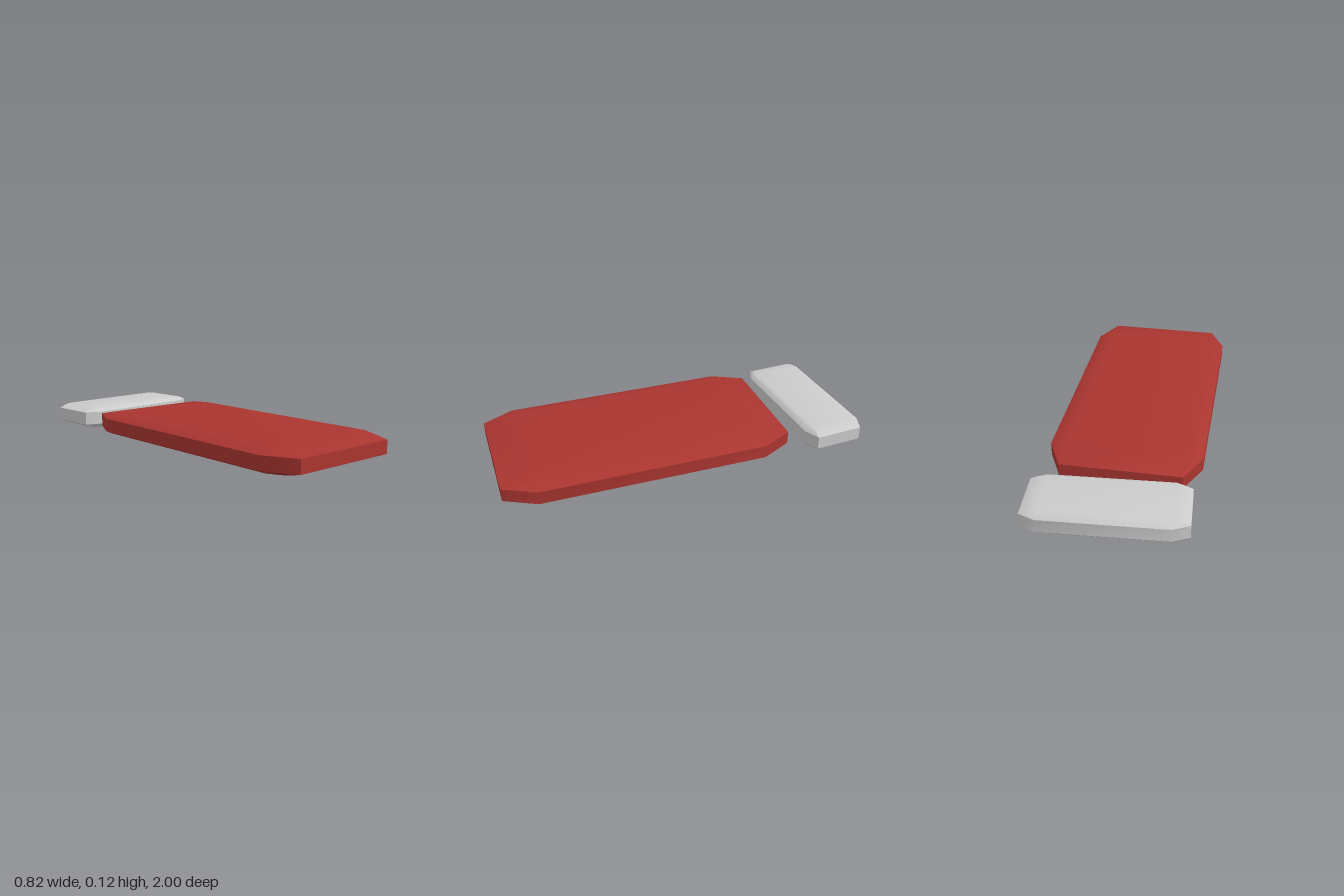
import * as THREE from 'three';
import { toCreasedNormals } from 'three/addons/utils/BufferGeometryUtils.js';

// Horizontal profile shared by both slabs: [y, share of the chamfer still present]
const PROFILE = [
  [0, 0], [0.006, 0.5], [0.025, 1],
  [0.097, 1], [0.115, 0.5], [0.12, 0],
];

// Octagonal ring around an inner rectangle (hx - cx, hz - cz), grown outwards by s
function ring(hx, hz, cx, cz, y, s) {
  const ix = hx - cx, iz = hz - cz, points = [];
  for (const [sx, sz] of [[1, 1], [-1, 1], [-1, -1], [1, -1]]) {
    const side = new THREE.Vector3(sx * (ix + cx * s), y, sz * iz);
    const end = new THREE.Vector3(sx * ix, y, sz * (iz + cz * s));
    points.push(...(sx * sz > 0 ? [side, end] : [end, side]));
  }
  return points;
}

// Chamfered slab with softly domed top and bottom
function slabGeometry(hx, hz, cx, cz) {
  const rings = PROFILE.map(([y, s]) => ring(hx, hz, cx, cz, y, s));
  const pos = [];
  const tri = (a, b, c) => {
    if (a.equals(b) || b.equals(c) || a.equals(c)) return;
    for (const p of [a, b, c]) pos.push(p.x, p.y, p.z);
  };
  for (let i = 0; i < rings.length - 1; i++) {
    for (let k = 0; k < 8; k++) {
      const n = (k + 1) % 8, lo = rings[i], up = rings[i + 1];
      tri(lo[k], up[k], lo[n]);
      tri(lo[n], up[k], up[n]);
    }
  }
  // Flat caps
  const bottom = rings[0], top = rings[rings.length - 1];
  for (let k = 1; k < 7; k++) {
    tri(bottom[0], bottom[k], bottom[k + 1]);
    tri(top[0], top[k + 1], top[k]);
  }
  const geo = new THREE.BufferGeometry();
  geo.setAttribute('position', new THREE.Float32BufferAttribute(pos, 3));
  return toCreasedNormals(geo, 0.6);
}

function slab(name, color, [hx, hz, cx, cz], z, turn) {
  const mesh = new THREE.Mesh(
    slabGeometry(hx, hz, cx, cz),
    new THREE.MeshStandardMaterial({ color }),
  );
  mesh.name = name;
  mesh.position.z = z;
  mesh.rotation.y = turn;
  return mesh;
}

export function createModel() {
  const group = new THREE.Group();
  group.name = 'beddingSet';
  // Long mat and the pillow lying slightly askew behind it
  group.add(slab('mat', 0xaa3530, [0.4, 0.782, 0.085, 0.17], 0.212, 0.013));
  group.add(slab('pillow', 0xcccccc, [0.4, 0.168, 0.085, 0.036], -0.808, 0.079));
  return group;
}
